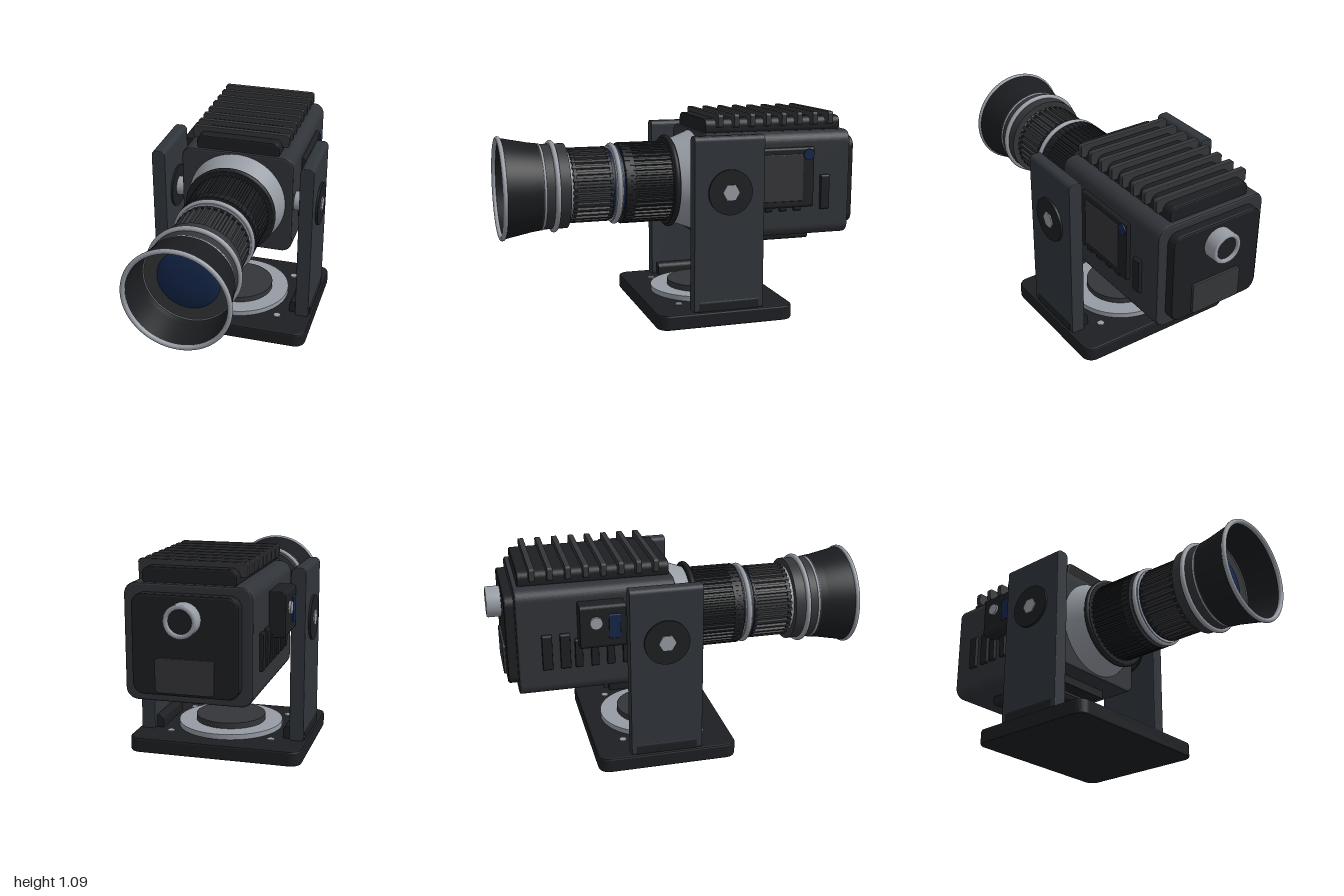
import * as THREE from 'three';

const mat = (color) => new THREE.MeshStandardMaterial({ color });
const BLACK = mat(0x1d1f22), DARK = mat(0x303338), STEEL = mat(0x30353b), GREY = mat(0x343538);
const SILVER = mat(0x979ca4), BLUE = mat(0x14264a), HOOD = mat(0x1a1c1f);
HOOD.side = THREE.DoubleSide;
const AXIS_Y = 0.71, PIVOT_Z = -0.135, BASE_Z = -0.125;

function roundedRect(w, h, r) {
  const s = new THREE.Shape(), x = w / 2, y = h / 2;
  s.moveTo(-x + r, -y);
  s.lineTo(x - r, -y).absarc(x - r, -y + r, r, -Math.PI / 2, 0, false);
  s.lineTo(x, y - r).absarc(x - r, y - r, r, 0, Math.PI / 2, false);
  s.lineTo(-x + r, y).absarc(-x + r, y - r, r, Math.PI / 2, Math.PI, false);
  s.lineTo(-x, -y + r).absarc(-x + r, -y + r, r, Math.PI, Math.PI * 1.5, false);
  return s;
}

// Centred slab: rounded outline w x h extruded by d along z, with a fine bevel
function slabGeometry(w, h, d, r, b = 0.006) {
  const g = new THREE.ExtrudeGeometry(roundedRect(w - 2 * b, h - 2 * b, r), {
    depth: d - 2 * b, bevelEnabled: true, bevelSize: b, bevelThickness: b, bevelSegments: 2, curveSegments: 6,
  });
  return g.translate(0, 0, -d / 2 + b);
}

// Ribbed grip ring: toothed outline extruded along z
function gripGeometry(r, depth, teeth, z0, z1) {
  const pts = [];
  for (let i = 0; i < teeth; i++) {
    [[0, r - depth], [0.4, r - depth], [0.5, r], [0.9, r]].forEach(([f, rad]) => {
      const a = ((i + f) / teeth) * Math.PI * 2;
      pts.push(new THREE.Vector2(Math.cos(a) * rad, Math.sin(a) * rad));
    });
  }
  return new THREE.ExtrudeGeometry(new THREE.Shape(pts), { depth: z1 - z0, bevelEnabled: false }).translate(0, 0, z0);
}

export function createModel() {
  const root = new THREE.Group();
  const group = (name, parent = root) => {
    const g = new THREE.Group();
    g.name = name;
    parent.add(g);
    return g;
  };
  const add = (parent, name, geo, material, x = 0, y = 0, z = 0) => {
    const m = new THREE.Mesh(geo, material);
    m.name = name;
    m.position.set(x, y, z);
    parent.add(m);
    return m;
  };
  // Box given by its limits, rounded in the front (xy) outline
  const block = (parent, name, material, [x0, x1], [y0, y1], [z0, z1], r = 0.012, b = 0.004) =>
    add(parent, name, slabGeometry(x1 - x0, y1 - y0, z1 - z0, r, b), material,
      (x0 + x1) / 2, (y0 + y1) / 2, (z0 + z1) / 2);
  // Round part along z, front and back radius
  const roundZ = (parent, name, material, rFront, rBack, z0, z1, y = 0) =>
    add(parent, name, new THREE.CylinderGeometry(rFront, rBack, z1 - z0, 64).rotateX(Math.PI / 2),
      material, 0, y, (z0 + z1) / 2);
  const roundX = (parent, name, material, r, x0, x1, y, z, sides = 40) =>
    add(parent, name, new THREE.CylinderGeometry(r, r, Math.abs(x1 - x0), sides).rotateZ(Math.PI / 2),
      material, (x0 + x1) / 2, y, z);
  const roundY = (parent, name, material, r, y0, y1, x, z, sides = 64) =>
    add(parent, name, new THREE.CylinderGeometry(r, r, y1 - y0, sides), material, x, (y0 + y1) / 2, z);

  // Base plate with turntable and corner bolts
  const base = group('base');
  add(base, 'basePlate', slabGeometry(0.93, 0.75, 0.082, 0.05, 0.01).rotateX(-Math.PI / 2), BLACK, 0, 0.041, BASE_Z);
  roundY(base, 'turntableRing', SILVER, 0.285, 0.08, 0.11, 0, BASE_Z);
  roundY(base, 'turntableDisc', GREY, 0.19, 0.11, 0.142, 0, BASE_Z);
  for (const x of [-0.277, 0.277])
    for (const z of [-0.34, 0.09]) roundY(base, 'baseBolt', SILVER, 0.02, 0.075, 0.088, x, z, 12);

  // Yoke: mirrored uprights, feet and pivots
  const yoke = group('yoke');
  for (const s of [-1, 1]) {
    const span = (a, b) => (s > 0 ? [a, b] : [-b, -a]);
    block(yoke, 'upright', STEEL, span(0.373, 0.449), [0.07, 1], [-0.325, 0.057], 0.022);
    block(yoke, 'foot', BLACK, span(0.332, 0.452), [0.06, 0.15], [-0.3, 0.03], 0.025);
    roundX(yoke, 'pivotAxle', SILVER, 0.053, s * 0.3, s * 0.38, AXIS_Y, PIVOT_Z);
    roundX(yoke, 'pivotDisc', BLACK, 0.119, s * 0.362, s * 0.461, AXIS_Y, PIVOT_Z, 48);
    roundX(yoke, 'pivotHexBolt', SILVER, 0.045, s * 0.44, s * 0.467, AXIS_Y, PIVOT_Z, 6);
  }

  // Camera housing
  const body = group('body');
  block(body, 'housing', DARK, [-0.315, 0.315], [0.42, 0.992], [-0.875, -0.055], 0.05, 0.01);
  block(body, 'rearPanel', BLACK, [-0.262, 0.262], [0.465, 0.95], [-0.925, -0.86], 0.045, 0.01);
  block(body, 'rearLabelPlate', GREY, [-0.145, 0.145], [0.48, 0.65], [-0.938, -0.915], 0.015);
  block(body, 'topPlate', BLACK, [-0.232, 0.232], [0.97, 1.065], [-0.85, -0.07], 0.03, 0.008);
  for (let i = 0; i < 8; i++) {
    const z = -0.145 - i * 0.0903;
    block(body, 'coolingFin', GREY, [-0.27, 0.27], [1.02, 1.092], [z - 0.015, z + 0.015], 0.012);
  }
  block(body, 'bottomPlate', BLACK, [-0.175, 0.175], [0.372, 0.44], [-0.7, -0.16], 0.015);
  for (const z of [-0.27, -0.43, -0.59])
    block(body, 'bottomPad', GREY, [-0.092, 0.092], [0.36, 0.38], [z - 0.029, z + 0.029], 0.004, 0.003);

  // Rear connector: hollow silver socket with a dark core
  const socket = [[0.058, 0], [0.058, 0.075], [0.064, 0.08], [0.075, 0.08], [0.081, 0.074], [0.081, 0]];
  const ring = new THREE.LatheGeometry(socket.map(([r, h]) => new THREE.Vector2(r, h)), 40).rotateX(-Math.PI / 2);
  const socketMat = mat(0x979ca4);
  socketMat.side = THREE.DoubleSide;
  add(body, 'connectorSocket', ring, socketMat, 0, 0.84, -0.92);
  roundZ(body, 'connectorCore', BLACK, 0.06, 0.06, -0.985, -0.91, 0.84);

  // Side vents and slots on both sides
  for (const s of [-1, 1]) {
    const span = (a, b) => (s > 0 ? [a, b] : [-b, -a]);
    for (let i = 0; i < 5; i++) {
      const z = -0.235 - i * 0.0825;
      block(body, 'sideVent', BLACK, span(0.3, 0.333), [0.565, 0.72], [z - 0.02, z + 0.02], 0.008);
    }
    block(body, 'sideSlot', BLACK, span(0.3, 0.334), [0.565, 0.755], [-0.752, -0.7], 0.008);
  }
  block(body, 'sideSlot', BLACK, [-0.334, -0.3], [0.565, 0.755], [-0.66, -0.608], 0.008);

  // Left side cover with blue button
  block(body, 'sideCover', BLACK, [0.3, 0.338], [0.585, 0.91], [-0.655, -0.26], 0.01);
  block(body, 'coverInset', GREY, [0.33, 0.342], [0.62, 0.875], [-0.59, -0.3], 0.003, 0.002);
  roundX(body, 'coverButton', BLUE, 0.03, 0.32, 0.346, 0.872, -0.622, 24);

  // Right side control box with knob and small blue window
  block(body, 'controlBox', BLACK, [-0.4, -0.3], [0.69, 0.92], [-0.568, -0.33], 0.015, 0.006);
  roundX(body, 'controlKnob', SILVER, 0.032, -0.413, -0.39, 0.83, -0.485, 24);
  block(body, 'controlWindow', BLUE, [-0.407, -0.39], [0.74, 0.87], [-0.42, -0.36], 0.004, 0.002);

  // Lens barrel, from the mount forward
  const lens = group('lens');
  lens.position.y = AXIS_Y;
  const band = (name, material, r, tube, z) =>
    add(lens, name, new THREE.TorusGeometry(r, tube, 12, 72), material, 0, 0, z);
  roundZ(lens, 'mountCone', SILVER, 0.225, 0.275, -0.06, 0.07);
  roundZ(lens, 'mountFlange', BLACK, 0.24, 0.24, 0.063, 0.098);
  band('flangeEdge', BLACK, 0.237, 0.016, 0.08);
  add(lens, 'focusGrip', gripGeometry(0.22, 0.01, 48, 0.095, 0.35), BLACK);
  roundZ(lens, 'focusCollar', BLACK, 0.218, 0.218, 0.3, 0.353);
  roundZ(lens, 'blueCore', BLUE, 0.192, 0.192, 0.34, 0.43);
  roundZ(lens, 'silverCollar', SILVER, 0.206, 0.206, 0.365, 0.405);
  band('apertureBand', SILVER, 0.206, 0.014, 0.385);
  add(lens, 'zoomGrip', gripGeometry(0.202, 0.013, 36, 0.42, 0.63), GREY);
  for (const z of [0.425, 0.617]) roundZ(lens, 'zoomGripEnd', BLACK, 0.199, 0.199, z - 0.008, z + 0.008);
  roundZ(lens, 'thinSpacer', SILVER, 0.19, 0.19, 0.62, 0.65);
  roundZ(lens, 'frontBarrel', GREY, 0.227, 0.227, 0.645, 0.79);
  band('frontBand', SILVER, 0.232, 0.014, 0.714);
  band('hoodSeam', SILVER, 0.224, 0.007, 0.778);

  // Open hood with silver rim, inner face and domed glass
  const hood = [[0.228, 0.785], [0.268, 0.99], [0.255, 0.99], [0.232, 0.79]];
  add(lens, 'hood', new THREE.LatheGeometry(hood.map(([r, z]) => new THREE.Vector2(r, z)), 72).rotateX(Math.PI / 2), HOOD);
  band('hoodRim', SILVER, 0.263, 0.0125, 0.987);
  roundZ(lens, 'innerFace', GREY, 0.229, 0.229, 0.78, 0.8);
  band('innerRing', SILVER, 0.23, 0.003, 0.801);
  const glass = new THREE.SphereGeometry(0.16, 48, 12, 0, Math.PI * 2, 0, Math.PI / 2).rotateX(Math.PI / 2).scale(1, 1, 0.2);
  add(lens, 'glass', glass, BLUE, 0, 0, 0.799);

  return root;
}
